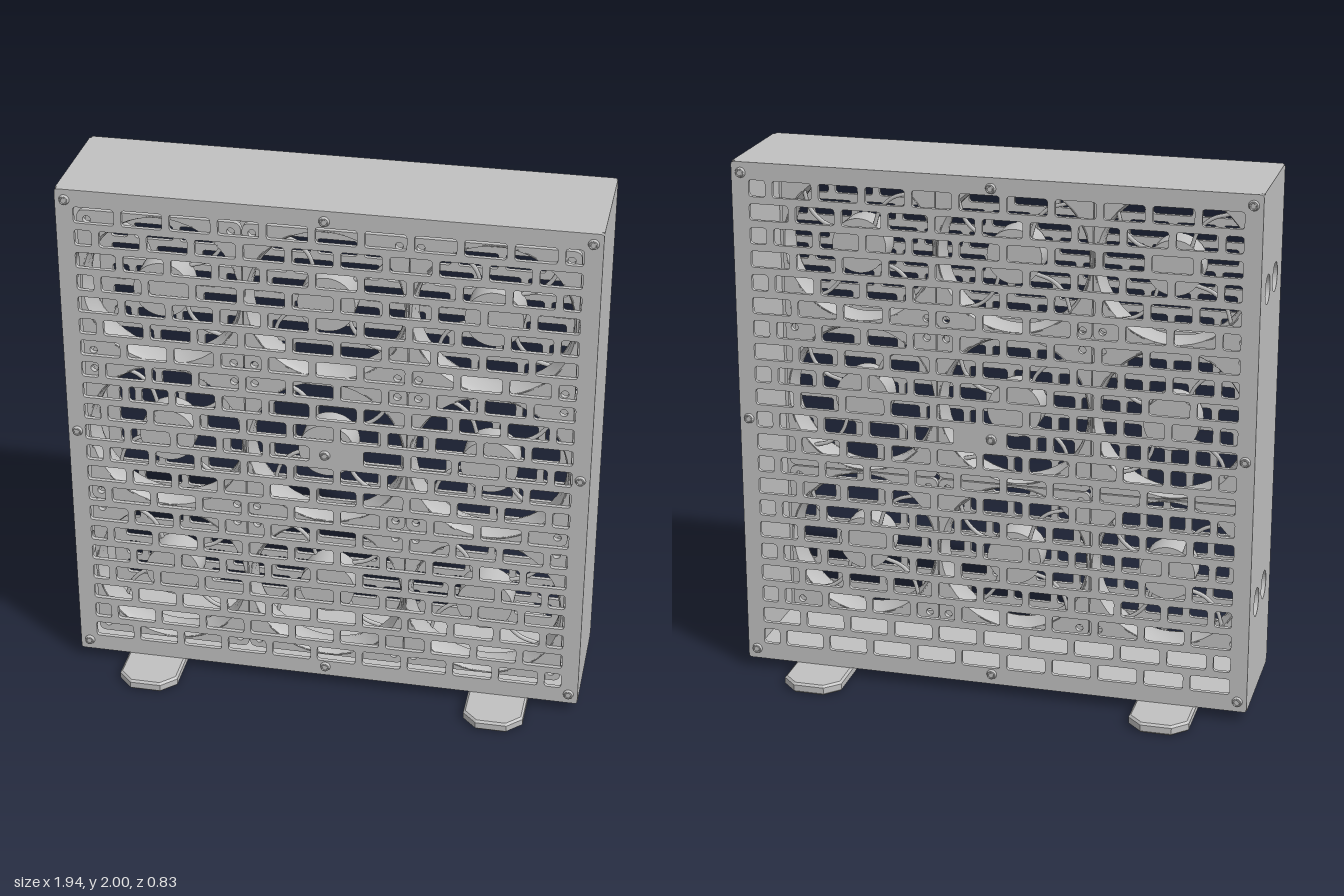
import * as THREE from 'three';

const BOTTOM = 0.04, TOP = 2, HALF_W = 0.97, HALF_D = 0.236, WALL = 0.016;
const MID_Y = (BOTTOM + TOP) / 2;
const CENTRES = [-0.6, 0, 0.6];

// Rectangle with rounded corners, usable as outline or hole
function roundRect(path, x0, y0, x1, y1, r) {
  path.moveTo(x0 + r, y0);
  path.lineTo(x1 - r, y0);
  path.quadraticCurveTo(x1, y0, x1, y0 + r);
  path.lineTo(x1, y1 - r);
  path.quadraticCurveTo(x1, y1, x1 - r, y1);
  path.lineTo(x0 + r, y1);
  path.quadraticCurveTo(x0, y1, x0, y1 - r);
  path.lineTo(x0, y0 + r);
  path.quadraticCurveTo(x0, y0, x0 + r, y0);
  return path;
}

function circleHole(x, y, r) {
  return new THREE.Path().absarc(x, y, r, 0, Math.PI * 2, true);
}

function extrude(shape, depth, curveSegments = 12) {
  return new THREE.ExtrudeGeometry(shape, { depth, bevelEnabled: false, curveSegments });
}

// Panel with 21 rows of slots laid like bricks
function grilleGeometry() {
  const shape = roundRect(new THREE.Shape(), -HALF_W, BOTTOM, HALF_W, TOP, 0.012);
  const edge = 0.905, pitch = 0.1747, full = 0.148, half = 0.063, gap = 0.0267;
  for (let row = 0; row < 21; row++) {
    const y = MID_Y + (10 - row) * 0.0884;
    for (let i = 0; i < 11; i++) {
      if (row === 10 && i === 5) continue; // solid land for the centre screw
      const even = row % 2 === 0;
      const short = even ? i === 10 : i === 0;
      const x = even || short ? -edge + i * pitch : -edge + half + gap + (i - 1) * pitch;
      shape.holes.push(roundRect(new THREE.Path(), x, y - 0.031, x + (short ? half : full), y + 0.031, 0.012));
    }
  }
  return extrude(shape, WALL, 3);
}

// Square fan flange with a round opening and four screw holes
function flangeGeometry() {
  const shape = roundRect(new THREE.Shape(), -0.298, -0.298, 0.298, 0.298, 0.03);
  shape.holes.push(circleHole(0, 0, 0.291));
  for (const x of [-0.262, 0.262]) for (const y of [-0.262, 0.262]) shape.holes.push(circleHole(x, y, 0.014));
  return extrude(shape, 0.02, 24);
}

// Duct ring that flares toward both faces of the fan
function ductGeometry() {
  const profile = [[0.291, 0], [0.296, 0], [0.296, 0.125], [0.291, 0.125], [0.281, 0.1], [0.279, 0.06], [0.281, 0.025], [0.291, 0]];
  const pts = profile.map(([r, z]) => new THREE.Vector2(r, z));
  return new THREE.LatheGeometry(pts, 48).rotateX(Math.PI / 2);
}

export function createModel() {
  const model = new THREE.Group();
  model.name = 'fanBox';
  const grey = new THREE.MeshStandardMaterial({ color: 0xc0c0c0 });
  grey.name = 'light grey';
  const greyOpen = grey;

  function add(parent, name, geometry, x = 0, y = 0, z = 0) {
    const mesh = new THREE.Mesh(geometry, greyOpen);
    mesh.name = name;
    mesh.position.set(x, y, z);
    parent.add(mesh);
    return mesh;
  }

  // Casing
  const inner = 2 * (HALF_D - WALL);
  const height = TOP - BOTTOM;
  add(model, 'topPanel', new THREE.BoxGeometry(2 * HALF_W, WALL, inner), 0, TOP - WALL / 2, 0);
  add(model, 'bottomPanel', new THREE.BoxGeometry(2 * HALF_W, WALL, inner), 0, BOTTOM + WALL / 2, 0);
  add(model, 'leftPanel', new THREE.BoxGeometry(WALL, height - 2 * WALL, inner), HALF_W - WALL / 2, MID_Y, 0);

  // Right panel with four cable ports
  const side = new THREE.Shape();
  const h = height / 2 - WALL;
  side.moveTo(-inner / 2, -h);
  side.lineTo(inner / 2, -h);
  side.lineTo(inner / 2, h);
  side.lineTo(-inner / 2, h);
  side.closePath();
  for (const z of [-0.083, 0.083]) for (const y of [-0.6, 0.6]) side.holes.push(circleHole(z, y, 0.054));
  const rightPanel = add(model, 'rightPanel', extrude(side, WALL, 20), -HALF_W + WALL, MID_Y, 0);
  rightPanel.rotation.y = -Math.PI / 2;

  // Grilles and their screws
  const grille = grilleGeometry();
  add(model, 'frontGrille', grille, 0, 0, HALF_D - WALL);
  add(model, 'backGrille', grille, 0, 0, -HALF_D);
  const screw = new THREE.CylinderGeometry(0.016, 0.02, 0.012, 20).rotateX(Math.PI / 2);
  const socket = new THREE.TorusGeometry(0.012, 0.003, 6, 18);
  for (const s of [1, -1]) {
    for (const x of [-0.935, 0, 0.935]) for (const y of [-0.94, 0, 0.94]) {
      const head = new THREE.Group();
      head.name = 'screw';
      add(head, 'screwHead', screw, 0, 0, 0.005);
      add(head, 'screwRim', socket, 0, 0, 0.0105);
      head.position.set(x, MID_Y + y, s * HALF_D);
      if (s < 0) head.rotation.y = Math.PI;
      model.add(head);
    }
  }

  // Nine fans behind the front grille
  const flange = flangeGeometry();
  const duct = ductGeometry();
  const hub = new THREE.CylinderGeometry(0.105, 0.105, 0.105, 36).rotateX(Math.PI / 2);
  const strutPath = new THREE.CatmullRomCurve3([
    new THREE.Vector3(0.095, 0.02, 0), new THREE.Vector3(0.165, 0.012, 0),
    new THREE.Vector3(0.23, 0.035, 0), new THREE.Vector3(0.278, 0.085, 0)]);
  const strut = new THREE.TubeGeometry(strutPath, 12, 0.008, 6);
  for (const x of CENTRES) for (const y of CENTRES) {
    const fan = new THREE.Group();
    fan.name = 'fan';
    fan.position.set(x, MID_Y + y, HALF_D - WALL - 0.128);
    add(fan, 'backFlange', flange);
    add(fan, 'frontFlange', flange, 0, 0, 0.105);
    add(fan, 'duct', duct);
    add(fan, 'hub', hub, 0, 0, 0.058);
    for (let i = 0; i < 4; i++) {
      add(fan, 'strut', strut, 0, 0, 0.014).rotation.z = 0.45 + i * Math.PI / 2;
    }
    model.add(fan);
  }

  // Feet: long plates with clipped corners and a bevelled edge
  const b = 0.008, fw = 0.113 - b, fl = 0.417 - b, c = 0.05;
  const outline = [[-fw, -fl + c], [-fw + c, -fl], [fw - c, -fl], [fw, -fl + c],
    [fw, fl - c], [fw - c, fl], [-fw + c, fl], [-fw, fl - c]];
  const footShape = new THREE.Shape(outline.map(([x, y]) => new THREE.Vector2(x, y)));
  const foot = new THREE.ExtrudeGeometry(footShape, {
    depth: BOTTOM - 2 * b, bevelEnabled: true, bevelSize: b, bevelThickness: b, bevelSegments: 1,
  }).rotateX(-Math.PI / 2);
  for (const s of [-1, 1]) add(model, s > 0 ? 'leftFoot' : 'rightFoot', foot, s * 0.667, b, 0);

  return model;
}
